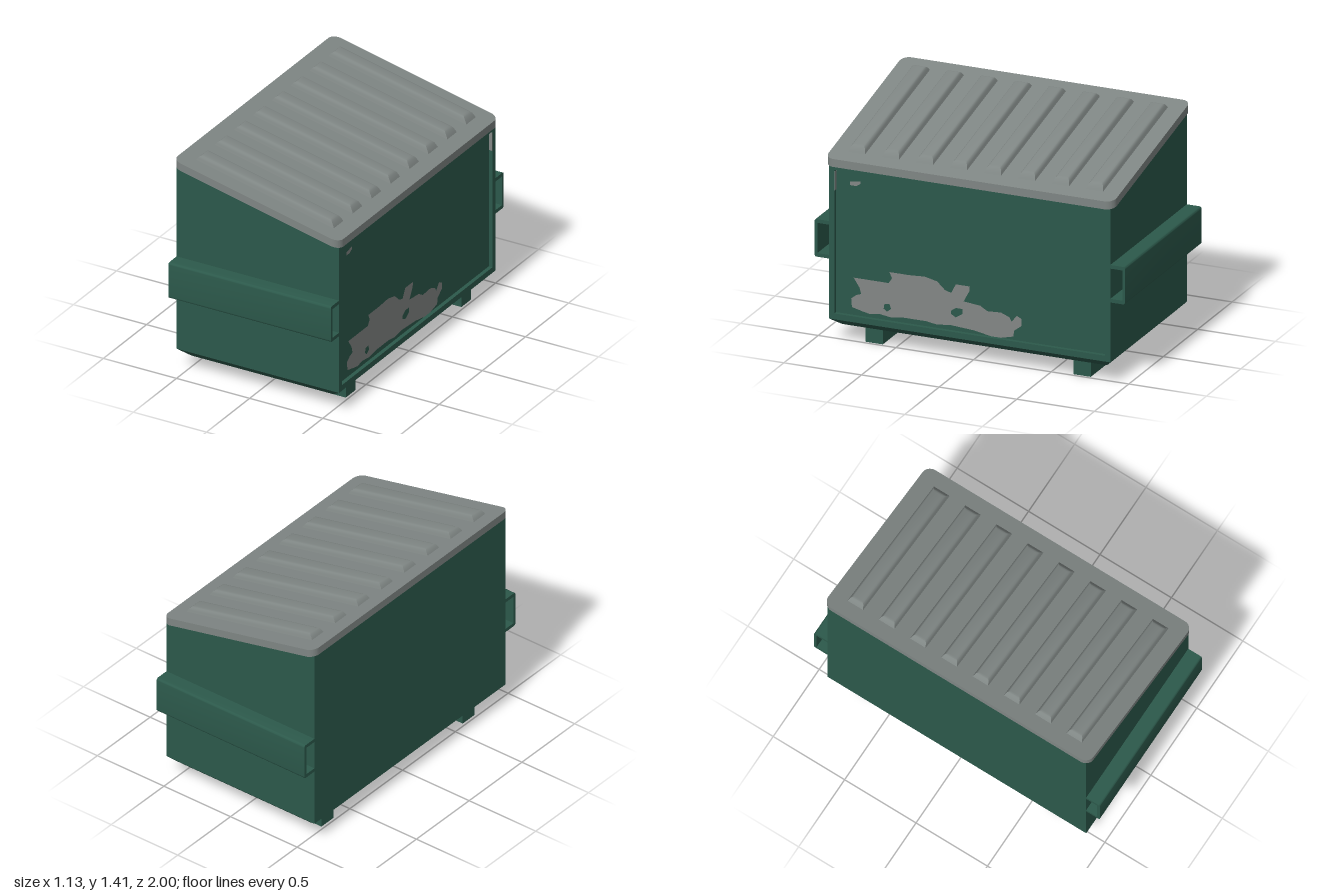
import * as THREE from 'three';
import { toCreasedNormals } from 'three/addons/utils/BufferGeometryUtils.js';

const HALF_X = 0.555, HALF_Z = 0.905;   // body half sizes
const PANEL_X = 0.53;                   // depth of the recessed side panel
const SLOPE = -0.2205, LID_Y = 1.227;   // underside line of the sloping lid
const lidLine = (x) => LID_Y + SLOPE * x;

export function createModel() {
  const green = new THREE.MeshStandardMaterial({ color: 0x2c594b });
  green.name = 'greenPaint';
  const grey = new THREE.MeshStandardMaterial({ color: 0x7f8684 });
  grey.name = 'greyLid';
  const worn = new THREE.MeshStandardMaterial({ color: 0x838685 });
  worn.name = 'wornPatch';

  const model = new THREE.Group();
  model.name = 'dumpster';
  const add = (name, geometry, material, parent = model) => {
    const mesh = new THREE.Mesh(geometry, material);
    mesh.name = name;
    parent.add(mesh);
    return mesh;
  };

  // Points are [z, y]; shapes are turned to face +x afterwards
  const sidePath = (points, scale = 1) =>
    points.map(([z, y]) => new THREE.Vector2(-z * scale, y * scale));
  const extrudeX = (shape, x, depth) =>
    new THREE.ExtrudeGeometry(shape, { depth, bevelEnabled: false, curveSegments: 4 })
      .rotateY(Math.PI / 2).translate(x, 0, 0);
  const rectangle = (z, y0, y1) => sidePath([[z, y0], [-z, y0], [-z, y1], [z, y1]]);

  // Body with sloping top
  const profile = new THREE.Shape([
    new THREE.Vector2(-HALF_X, 0.14), new THREE.Vector2(PANEL_X, 0.14),
    new THREE.Vector2(PANEL_X, lidLine(PANEL_X)), new THREE.Vector2(-HALF_X, lidLine(-HALF_X)),
  ]);
  add('body', new THREE.ExtrudeGeometry(profile, { depth: 2 * HALF_Z, bevelEnabled: false })
    .translate(0, 0, -HALF_Z), green);

  // Raised frame around the recessed panel
  const frame = new THREE.Shape(rectangle(HALF_Z, 0.14, 1.106));
  frame.holes.push(new THREE.Path(rectangle(0.872, 0.177, 1.08)));
  add('panelFrame', extrudeX(frame, PANEL_X, HALF_X - PANEL_X), green);

  // Tapered floor
  const floor = new THREE.BoxGeometry(2 * HALF_X, 0.05, 2 * HALF_Z).toNonIndexed();
  const fp = floor.attributes.position;
  for (let i = 0; i < fp.count; i++) {
    if (fp.getY(i) < 0) {
      fp.setX(i, Math.sign(fp.getX(i)) * 0.485);
      fp.setZ(i, Math.sign(fp.getZ(i)) * 0.853);
    }
  }
  floor.computeVertexNormals();
  add('floor', floor.translate(0, 0.115, 0), green);

  // Skids under the floor
  for (const z of [0.648, -0.691]) {
    add('skid', new THREE.BoxGeometry(0.965, 0.095, 0.112).translate(0, 0.0475, z), green);
  }

  // Open lifting sleeves at both ends
  for (const s of [1, -1]) {
    const sleeve = new THREE.Shape();
    sleeve.moveTo(s * 0.9, 0.517);
    sleeve.lineTo(s * 0.985, 0.517);
    sleeve.quadraticCurveTo(s, 0.517, s, 0.532);
    sleeve.lineTo(s, 0.738);
    sleeve.quadraticCurveTo(s, 0.753, s * 0.985, 0.753);
    for (const [z, y] of [[0.9, 0.753], [0.9, 0.73], [0.982, 0.73], [0.982, 0.54], [0.9, 0.54]]) {
      sleeve.lineTo(s * z, y);
    }
    add('liftingSleeve', toCreasedNormals(extrudeX(sleeve, -HALF_X, 2 * HALF_X), 0.6), green);
  }

  // Lid parts are made level and then sheared along the slope
  const shear = new THREE.Matrix4().set(1, 0, 0, 0, SLOPE, 1, 0, LID_Y, 0, 0, 1, 0, 0, 0, 0, 1);
  const lid = new THREE.Group();
  lid.name = 'lid';
  model.add(lid);

  const w = 0.567, d = 0.928, r = 0.055;
  const plate = new THREE.Shape();
  plate.absarc(w - r, d - r, r, 0, Math.PI / 2);
  plate.absarc(-w + r, d - r, r, Math.PI / 2, Math.PI);
  plate.absarc(-w + r, -d + r, r, Math.PI, Math.PI * 1.5);
  plate.absarc(w - r, -d + r, r, Math.PI * 1.5, Math.PI * 2);
  const plateGeometry = new THREE.ExtrudeGeometry(plate, { depth: 0.05, bevelEnabled: false, curveSegments: 8 })
    .rotateX(-Math.PI / 2);
  add('lidPlate', toCreasedNormals(plateGeometry, 0.6).applyMatrix4(shear), grey, lid);

  // Rounded ribs, built from shrinking rectangles [half length, half width, height]
  const levels = [[0.47, 0.055, 0], [0.463, 0.05, 0.012], [0.452, 0.045, 0.026],
    [0.443, 0.037, 0.033], [0.432, 0.026, 0.036]];
  const positions = [], index = [];
  for (const [x, z, y] of levels) positions.push(x, y, z, x, y, -z, -x, y, -z, -x, y, z);
  for (let l = 0; l < levels.length - 1; l++) {
    for (let c = 0; c < 4; c++) {
      const a = l * 4 + c, b = l * 4 + (c + 1) % 4;
      index.push(a, b, b + 4, a, b + 4, a + 4);
    }
  }
  const top = (levels.length - 1) * 4;
  index.push(top, top + 1, top + 2, top, top + 2, top + 3);
  const ribBase = new THREE.BufferGeometry();
  ribBase.setAttribute('position', new THREE.Float32BufferAttribute(positions, 3));
  ribBase.setIndex(index);
  const rib = toCreasedNormals(ribBase, 0.7).applyMatrix4(shear);
  for (let i = 0; i < 8; i++) {
    add('lidRib', rib, grey, lid).position.set(0, 0.05, (i - 3.5) * 0.219);
  }

  // Worn paint on the recessed panel, in hundredths [z, y]
  const wear = new THREE.Shape(sidePath([
    [75.8, 41.2], [53.3, 41.2], [51.1, 44.5], [52.8, 48.2], [40, 48.2], [30, 48.8], [22, 47],
    [17, 42.3], [13, 41.2], [10, 47], [1, 47], [1.3, 44], [5, 37], [-5.6, 36], [-10.4, 33.2],
    [-19, 33.7], [-24.4, 31.6], [-26, 29], [-29.2, 33.2], [-32.4, 31.6], [-32.4, 27.3],
    [-27.6, 23.6], [-27, 19.8], [-19, 17.8], [-12.6, 17.8], [-2, 19.8], [14, 20.9], [22, 19.8],
    [29, 20.9], [43.7, 20.9], [51.7, 19.8], [59.7, 20.9], [65, 19.8], [70.4, 20.9],
    [76.9, 22.5], [77.4, 27.9], [74.2, 30.5], [71, 31.6], [72, 35.4],
  ], 0.01));
  for (const hole of [
    [[56, 27.5], [52.8, 28], [51.7, 25.2], [54.4, 23], [56.5, 24.6]],
    [[13, 30], [10, 32.1], [5.6, 32.1], [5.6, 29], [10, 26.2], [13, 27.8]],
  ]) wear.holes.push(new THREE.Path(sidePath(hole, 0.01)));
  const chip = new THREE.Shape(sidePath(
    [[78, 101.2], [71.5, 102.3], [71.5, 100.7], [74.2, 99], [78, 99]], 0.01));
  for (const shape of [wear, chip]) {
    add('wornPaint', new THREE.ShapeGeometry(shape).rotateY(Math.PI / 2)
      .translate(PANEL_X + 0.002, 0, 0), worn);
  }

  // Worn strips on the inner edges of the frame
  for (const s of [1, -1]) {
    add('wornEdge', new THREE.BoxGeometry(0.022, 0.12, 0.002)
      .translate(PANEL_X + 0.0125, 1.01, s * 0.871), worn);
  }
  return model;
}
